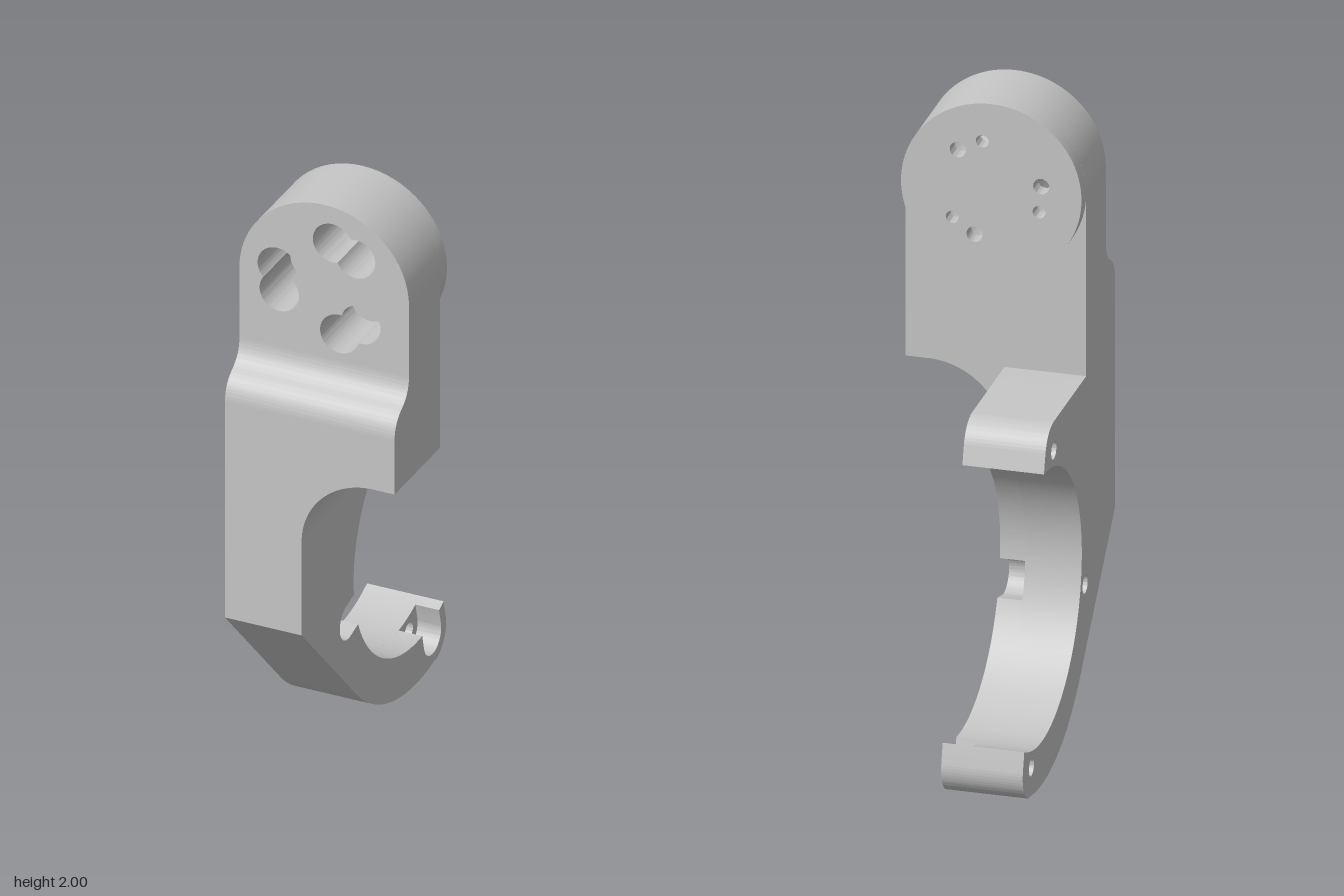
import * as THREE from 'three';
import { toCreasedNormals } from 'three/addons/utils/BufferGeometryUtils.js';

const rad = THREE.MathUtils.degToRad;

export function createModel() {
  const model = new THREE.Group();
  const grey = new THREE.MeshStandardMaterial({ color: 0xc6c6c6 });
  grey.name = 'grey';

  function add(name, shape, from, to, sideways = false) {
    let g = new THREE.ExtrudeGeometry(shape, { depth: to - from, bevelEnabled: false, curveSegments: 32 });
    g.translate(0, 0, from);
    if (sideways) g.rotateY(Math.PI / 2); // profile (-z, y) swept along x
    g = toCreasedNormals(g, 0.5);
    const mesh = new THREE.Mesh(g, grey);
    mesh.name = name;
    model.add(mesh);
  }
  const circle = (x, y, r) => new THREE.Path().absarc(x, y, r, 0, Math.PI * 2, false);
  const polar = (cx, cy, r, deg) => [cx + r * Math.cos(rad(deg)), cy + r * Math.sin(rad(deg))];

  const backZ = 0.187; // back face of head and shoulder
  const ledgeY = 1.127; // underside of shoulder, top of clamp
  const armX = -0.027; // inner side of arm

  // Round head: arched plate with three double counterbores, and a mounting disc behind it
  const headY = 1.72, headR = 0.28;
  const plate = new THREE.Shape();
  plate.moveTo(-headR, 1.48);
  plate.lineTo(headR, 1.48);
  plate.absarc(0, headY, headR, 0, Math.PI, false);
  plate.closePath();
  const disc = new THREE.Shape();
  disc.absarc(0, headY, headR, 0, Math.PI * 2, false);
  const boreR = 0.065;
  for (let i = 0; i < 3; i++) {
    const a = polar(0, headY, 0.158, 49 + 120 * i);
    const b = polar(0, headY, 0.158, 80 + 120 * i);
    const dir = Math.atan2(b[1] - a[1], b[0] - a[0]);
    const cut = Math.acos(Math.hypot(b[0] - a[0], b[1] - a[1]) / 2 / boreR);
    const pocket = new THREE.Path();
    pocket.absarc(...a, boreR, dir + cut, dir - cut + 2 * Math.PI, false);
    pocket.absarc(...b, boreR, dir + Math.PI + cut, dir + 3 * Math.PI - cut, false);
    plate.holes.push(pocket);
    disc.holes.push(circle(...a, 0.025), circle(...b, 0.02));
  }
  add('headPlate', plate, backZ, 0.4);
  add('mountingDisc', disc, 0.137, backZ);

  // Shoulder: S-curved step from the thin head to the thick arm
  const step = new THREE.Shape();
  step.moveTo(-0.5, ledgeY);
  step.lineTo(-backZ, ledgeY);
  step.lineTo(-backZ, 1.48);
  step.lineTo(-0.4, 1.48);
  step.quadraticCurveTo(-0.4, 1.423, -0.45, 1.395);
  step.quadraticCurveTo(-0.5, 1.367, -0.5, 1.31);
  step.closePath();
  add('shoulder', step, -headR, headR, true);

  // Concave fillet between shoulder and arm
  const filletR = 0.237;
  const fillet = new THREE.Shape();
  fillet.moveTo(armX, ledgeY);
  fillet.lineTo(armX, ledgeY - filletR);
  fillet.absarc(armX + filletR, ledgeY - filletR, filletR, Math.PI, Math.PI / 2, true);
  fillet.closePath();
  add('armFillet', fillet, backZ, 0.5);

  // Arm with an open ring clamp; screw pockets open into the ring
  const c = [0.29, 0.57], inner = 0.43, outer = 0.57, boltR = 0.48, capR = 0.094;
  const low = 284, mid = 194, high = 105.3;
  const bolts = [low, mid, high];
  const offset = (w) => THREE.MathUtils.radToDeg(Math.asin(w / inner));

  function clampShape(pockets) {
    const s = new THREE.Shape();
    s.moveTo(-0.5, ledgeY);
    s.lineTo(-0.5, 0.57);
    s.absarc(...c, outer, rad(225), rad(low), false);
    s.absarc(...polar(...c, boltR, low), capR, rad(low), rad(low + 90), false);
    let at = low + offset(capR);
    if (pockets) {
      const w = 0.06, d = offset(w);
      for (const b of bolts) {
        s.absarc(...c, inner, rad(at), rad(b + d), true);
        s.absarc(...polar(...c, boltR, b), w, rad(b + 90), rad(b - 90), true);
        at = b - d;
      }
    }
    s.absarc(...c, inner, rad(at), rad(high - offset(capR)), true);
    s.absarc(...polar(...c, boltR, high), capR, rad(high - 90), rad(90), false);
    s.closePath();
    if (!pockets) for (const b of bolts) s.holes.push(circle(...polar(...c, boltR, b), 0.028));
    return s;
  }
  add('clampArm', clampShape(false), -headR, -0.105, true);
  add('clampArmPocketed', clampShape(true), -0.105, armX, true);

  return model;
}
